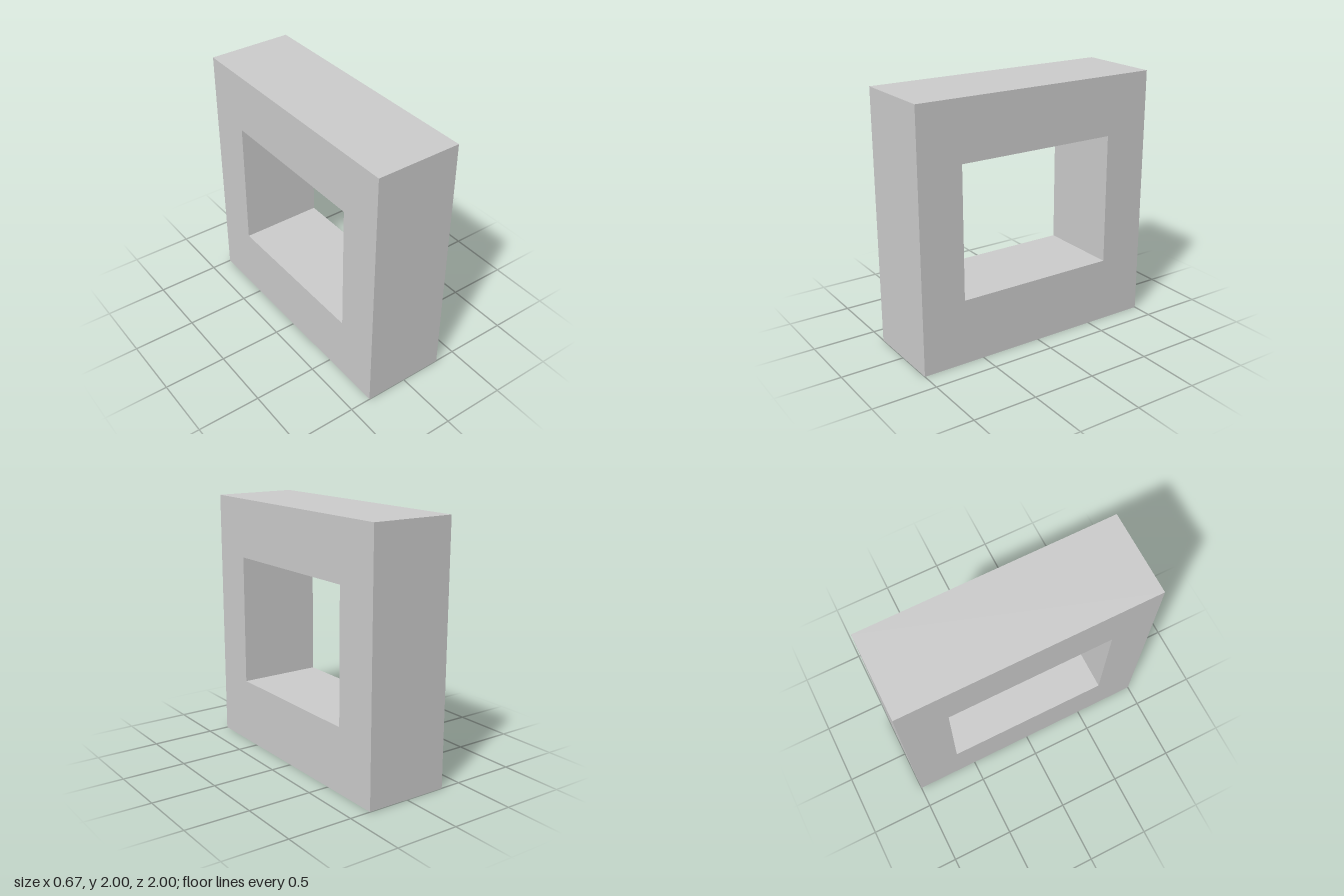
import * as THREE from 'three';

const WIDTH = 0.665;

// Adds a closed rectangle to a shape or path
function rect(path, x0, y0, x1, y1) {
  path.moveTo(x0, y0);
  path.lineTo(x1, y0);
  path.lineTo(x1, y1);
  path.lineTo(x0, y1);
  path.closePath();
  return path;
}

export function createModel() {
  const group = new THREE.Group();
  group.name = 'squareFrame';

  // Square block with a rectangular opening, drawn in side profile (shape x = -z)
  const profile = rect(new THREE.Shape(), -1, 0, 1, 2);
  profile.holes.push(rect(new THREE.Path(), -0.653, 0.51, 0.637, 1.537));

  // Extrude across the width, then turn so the opening runs along x
  const geometry = new THREE.ExtrudeGeometry(profile, { depth: WIDTH, bevelEnabled: false });
  geometry.translate(0, 0, -WIDTH / 2);
  geometry.rotateY(Math.PI / 2);

  const frame = new THREE.Mesh(
    geometry,
    new THREE.MeshStandardMaterial({ color: 0xcccccc, flatShading: true })
  );
  frame.name = 'frame';
  group.add(frame);
  return group;
}
